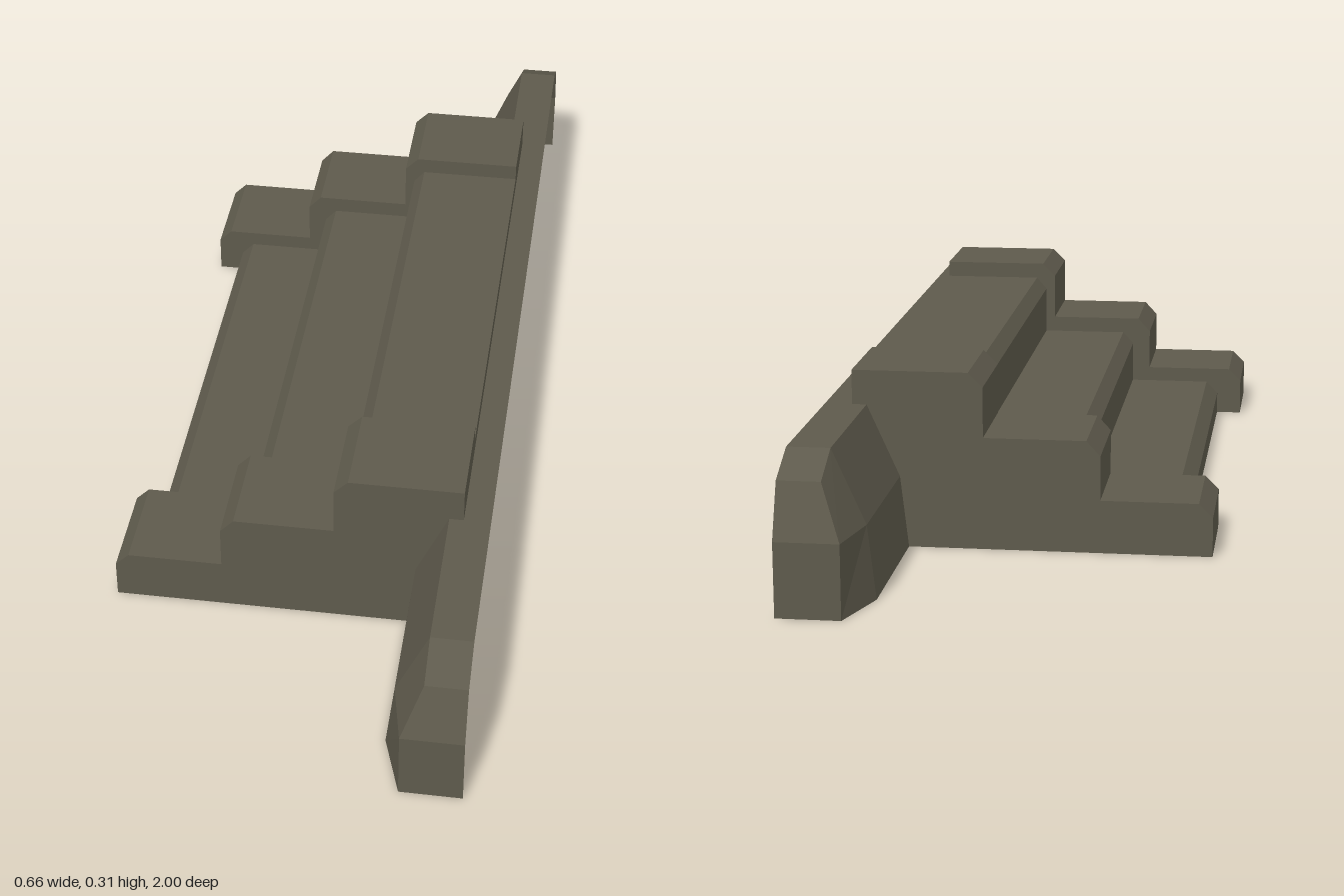
import * as THREE from 'three';

const stone = new THREE.MeshStandardMaterial({ color: 0x5e5a4c, side: THREE.DoubleSide, flatShading: true });
stone.name = 'dark olive stone';

// Skin a row of cross-sections (each a list of [x, y, z]) with flat quads
function loft(sections) {
  const positions = [];
  const tri = (...pts) => {
    const [a, b, c] = pts.map((p) => new THREE.Vector3(...p));
    if (new THREE.Triangle(a, b, c).getArea() > 1e-7) positions.push(...pts.flat());
  };
  for (let s = 0; s < sections.length - 1; s++) {
    const p = sections[s], q = sections[s + 1];
    for (let i = 0; i < p.length - 1; i++) {
      tri(p[i], q[i], q[i + 1]);
      tri(p[i], q[i + 1], p[i + 1]);
    }
  }
  const geometry = new THREE.BufferGeometry();
  geometry.setAttribute('position', new THREE.Float32BufferAttribute(positions, 3));
  geometry.computeVertexNormals();
  return geometry;
}

const at = (profile, z) => profile.map(([x, y]) => [x, y, z]);

function add(parent, name, geometry) {
  const mesh = new THREE.Mesh(geometry, stone);
  mesh.name = name;
  parent.add(mesh);
  return mesh;
}

export function createModel() {
  const model = new THREE.Group();
  model.name = 'steps';

  // Chamfered stair outlines, open underneath
  const cheekProfile = [
    [-0.333, 0], [-0.333, 0.069], [-0.309, 0.093], [-0.141, 0.093], [-0.141, 0.171], [-0.117, 0.197],
    [0.06, 0.197], [0.06, 0.285], [0.085, 0.31], [0.285, 0.31], [0.285, 0],
  ];
  const treadProfile = [
    [-0.285, 0], [-0.285, 0.041], [-0.262, 0.065], [-0.106, 0.065], [-0.106, 0.144], [-0.085, 0.167],
    [0.078, 0.167], [0.078, 0.257], [0.098, 0.28], [0.285, 0.28], [0.285, 0],
  ];

  // Treads between the two cheeks
  add(model, 'treads', loft([at(treadProfile, -0.42), at(treadProfile, 0.42)]));

  // Raised stepped cheeks at both ends, each with an outer and an inner side
  const side = new THREE.ShapeGeometry(new THREE.Shape(cheekProfile.map(([x, y]) => new THREE.Vector2(x, y))));
  for (const [name, z0, z1] of [['leftCheek', 0.42, 0.6], ['rightCheek', -0.6, -0.42]]) {
    const cheek = new THREE.Group();
    cheek.name = name;
    add(cheek, 'cheekSteps', loft([at(cheekProfile, z0), at(cheekProfile, z1)]));
    add(cheek, 'cheekFrontSide', side).position.z = z1;
    const back = add(cheek, 'cheekBackSide', side);
    back.position.z = z0;
    model.add(cheek);
  }

  // Long sloped kerb with bevelled ends, open towards +x and below
  const main = at([[0.19, 0], [0.204, 0.125], [0.26, 0.25], [0.332, 0.25]], 0.89);
  const cap = [[0.225, 0, 1], [0.225, 0.125, 1], [0.26, 0.215, 0.965], [0.332, 0.215, 0.965]];
  const end = [[0.332, 0, 1], [0.332, 0.125, 1], [0.332, 0.215, 0.965], [0.332, 0.215, 0.965]];
  const half = [main, cap, end];
  const mirrored = half.map((s) => s.map(([x, y, z]) => [x, y, -z])).reverse();
  add(model, 'kerb', loft([...mirrored, ...half]));

  return model;
}
